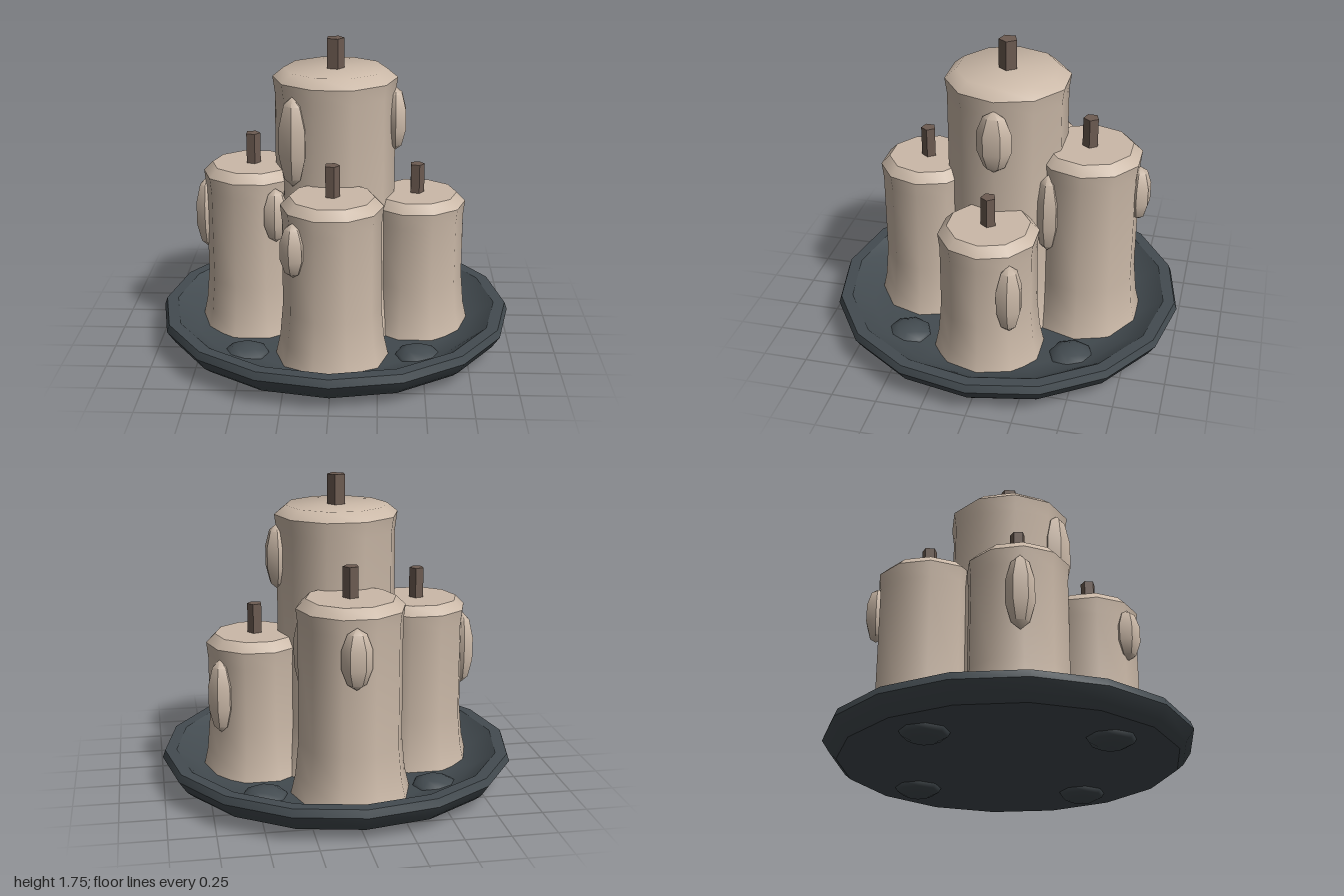
import * as THREE from 'three';
import { toCreasedNormals } from 'three/addons/utils/BufferGeometryUtils.js';

const wax = new THREE.MeshStandardMaterial({ color: 0xcbb9a8 });
wax.name = 'wax';
const slate = new THREE.MeshStandardMaterial({ color: 0x434b50 });
slate.name = 'dark slate';
const char = new THREE.MeshStandardMaterial({ color: 0x6c5b51 });
char.name = 'charred wick';

const FLOOR = 0.09;

function lathe(profile, sides, crease) {
  const points = profile.map(([r, y]) => new THREE.Vector2(r, y));
  return toCreasedNormals(new THREE.LatheGeometry(points, sides), crease);
}

function add(parent, name, geometry, material, x = 0, y = 0, z = 0) {
  const mesh = new THREE.Mesh(geometry, material);
  mesh.name = name;
  mesh.position.set(x, y, z);
  parent.add(mesh);
  return mesh;
}

// Ten-sided pillar with a flared foot and bevelled top, plus its wick and wax drips
function candle({ name, x, z, r, top, wickTop, wickR, drips }) {
  const group = new THREE.Group();
  group.name = name;
  group.position.set(x, 0, z);

  const body = lathe([
    [0, FLOOR - 0.02], [r * 1.14, FLOOR - 0.02], [r * 1.11, FLOOR + 0.01], [r * 1.03, 0.2],
    [r * 0.97, 0.38], [r * 0.965, top - 0.14], [r, top - 0.05],
    [r * 0.82, top], [0, top],
  ], 10, 0.72);
  add(group, 'waxPillar', body, wax).rotation.y = Math.PI / 2;

  const h = wickTop - top + 0.03;
  const wick = new THREE.CylinderGeometry(wickR, wickR, h, 5).toNonIndexed();
  wick.computeVertexNormals();
  add(group, 'wick', wick, char, 0, wickTop - h / 2, 0).rotation.y = Math.PI / 2;

  // Each drip: direction around the pillar, low and high ends, half width
  for (const [dx, dz, low, high, w] of drips) {
    const geometry = toCreasedNormals(new THREE.SphereGeometry(1, 6, 5), 0.8);
    const a = Math.atan2(dx, dz);
    const d = r * 0.97;
    const drip = add(group, 'waxDrip', geometry, wax, Math.sin(a) * d, (low + high) / 2, Math.cos(a) * d);
    drip.scale.set(w, (high - low) / 2, 0.068);
    drip.rotation.y = a;
  }
  return group;
}

export function createModel() {
  const model = new THREE.Group();
  model.name = 'candleCluster';

  // Shallow sixteen-sided tray
  add(model, 'tray', lathe([
    [0, 0.06], [0.92, 0.06], [0.955, 0.09], [1, 0.158], [0.985, 0.2],
    [0.92, 0.2], [0.8, 0.115], [0.68, FLOOR], [0, FLOOR],
  ], 16, 0.6), slate);

  // Flattened round feet that show slightly through the tray floor
  for (const sx of [-1, 1]) {
    for (const sz of [-1, 1]) {
      const foot = add(model, 'foot', new THREE.SphereGeometry(0.135, 8, 6), slate, sx * 0.47, 0.07, sz * 0.47);
      foot.scale.y = 0.5;
    }
  }

  const candles = [
    { name: 'centreCandle', x: 0, z: 0, r: 0.345, top: 1.585, wickTop: 1.75, wickR: 0.052,
      drips: [[-0.22, 0.25, 0.98, 1.48, 0.1], [1, 0, 1.12, 1.48, 0.1]] },
    { name: 'frontCandle', x: 0, z: 0.46, r: 0.275, top: 1.0, wickTop: 1.17, wickR: 0.042,
      drips: [[-0.2, 0.18, 0.61, 0.91, 0.078]] },
    { name: 'backCandle', x: 0, z: -0.46, r: 0.293, top: 1.17, wickTop: 1.335, wickR: 0.044,
      drips: [[0.02, -0.3, 0.75, 1.08, 0.085], [0.21, 0.19, 0.59, 1.07, 0.08]] },
    { name: 'leftCandle', x: 0.46, z: 0, r: 0.275, top: 0.875, wickTop: 1.04, wickR: 0.042,
      drips: [[0.21, -0.16, 0.35, 0.77, 0.08]] },
    { name: 'rightCandle', x: -0.46, z: 0, r: 0.28, top: 1.04, wickTop: 1.21, wickR: 0.042,
      drips: [[-0.29, -0.02, 0.52, 0.94, 0.08], [0.14, 0.23, 0.65, 0.96, 0.075]] },
  ];
  for (const spec of candles) model.add(candle(spec));

  return model;
}
